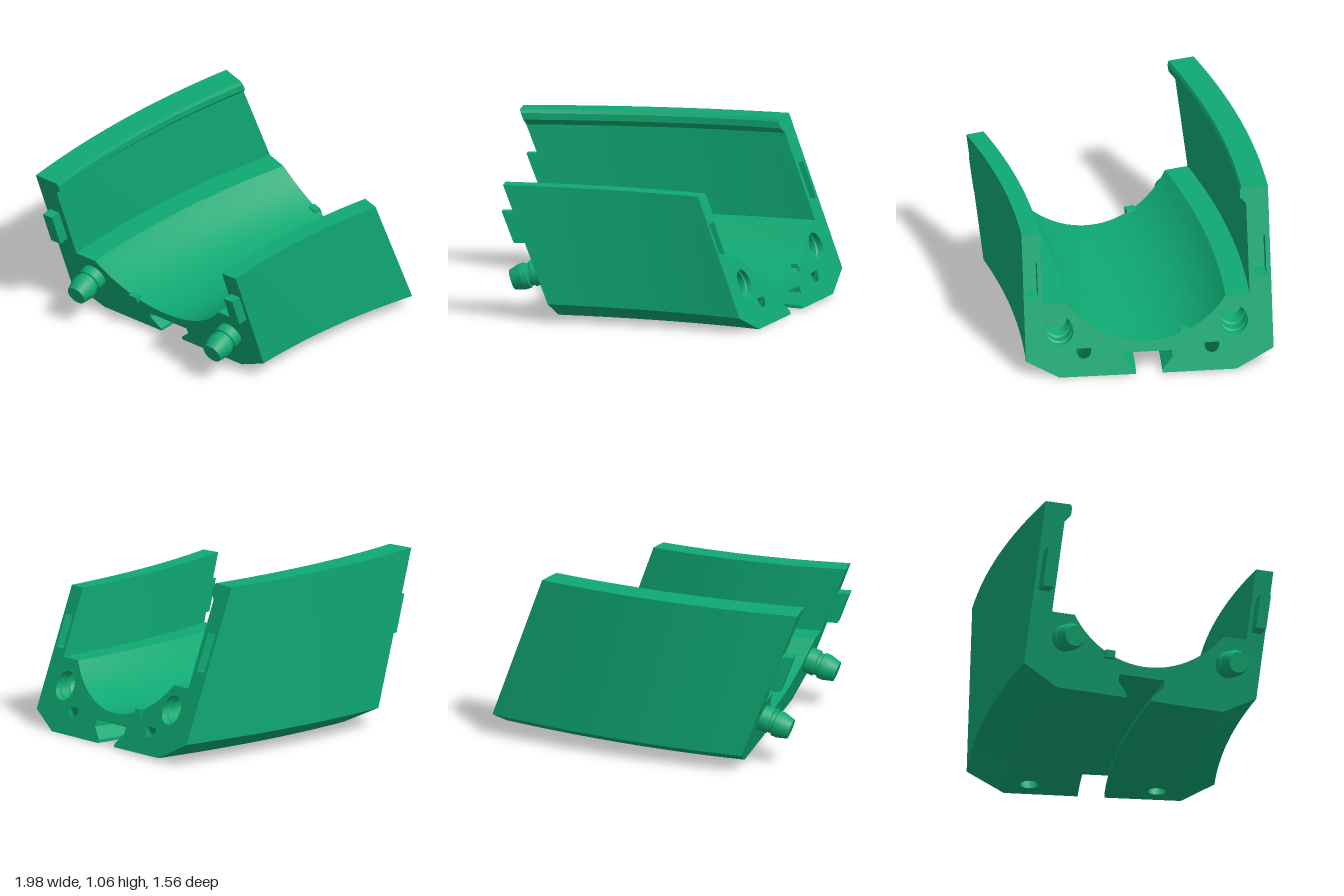
import * as THREE from 'three';
import { mergeGeometries } from 'three/addons/utils/BufferGeometryUtils.js';

const V2 = (x, y) => new THREE.Vector2(x, y);
const AXIS = 4.82;    // z of the vertical axis the track bends around
const HALF = 0.1464;  // half of the bend angle
const STEPS = 16;

// Section point (z, y) at sweep position s (-1 = left end, 1 = right end), with raked ends and a slight twist
function place(z, y, s) {
  const r = AXIS - z;
  const a = HALF * s + 0.375 * (0.525 - 0.08 * z - y) / r;
  const px = r * Math.sin(a), pz = AXIS - r * Math.cos(a);
  return new THREE.Vector3(px, y + 0.01 - 0.021 * px * pz, pz);
}

// Grid surface from rows of points, smooth inside
function surface(rows, flip = false) {
  const pos = [], idx = [], n = rows[0].length;
  rows.forEach(row => row.forEach(p => pos.push(p.x, p.y, p.z)));
  for (let i = 0; i < rows.length - 1; i++) for (let j = 0; j < n - 1; j++) {
    const a = i * n + j, b = a + n;
    if (flip) idx.push(a, a + 1, b, b, a + 1, b + 1);
    else idx.push(a, b, a + 1, b, b + 1, a + 1);
  }
  const g = new THREE.BufferGeometry();
  g.setAttribute('position', new THREE.Float32BufferAttribute(pos, 3));
  g.setIndex(idx);
  g.computeVertexNormals();
  return g;
}

// Sweep an open section line from s0 to s1
function sweep(line, s0, s1, steps = STEPS, flip = false) {
  const rows = [];
  for (let i = 0; i <= steps; i++) {
    const s = s0 + (s1 - s0) * i / steps;
    rows.push(line.map(p => place(p.x, p.y, s)));
  }
  return surface(rows, flip);
}

// Flat outline with holes, moved into place by a rule
function sheet(outline, holes, rule, flip = false) {
  const shape = new THREE.Shape(outline);
  holes.forEach(h => shape.holes.push(new THREE.Path(h)));
  const g = new THREE.ShapeGeometry(shape);
  g.deleteAttribute('uv');
  const p = g.attributes.position;
  for (let i = 0; i < p.count; i++) {
    const v = rule(p.getX(i), p.getY(i));
    p.setXYZ(i, v.x, v.y, v.z);
  }
  if (flip) {
    const ix = g.index.array;
    for (let i = 0; i < ix.length; i += 3) [ix[i], ix[i + 1]] = [ix[i + 1], ix[i]];
  }
  g.computeVertexNormals();
  return g;
}

const edges = loop => loop.map((p, i) => [p, loop[(i + 1) % loop.length]]);
const closed = loop => [...loop, loop[0]];
const ring = (cz, cy, r, n = 28) => Array.from({ length: n }, (_, i) =>
  V2(cz + r * Math.cos(i / n * 2 * Math.PI), cy + r * Math.sin(i / n * 2 * Math.PI)));
const rect = (z0, y0, z1, y1) => [V2(z0, y0), V2(z1, y0), V2(z1, y1), V2(z0, y1)];
// Rounded below, flat on top
const dLoop = cz => ring(cz, 0.147, 0.045, 20).map(p => V2(p.x, Math.min(p.y, 0.16)));

export function createModel() {
  const model = new THREE.Group();
  const green = new THREE.MeshStandardMaterial({ color: 0x0fa873, side: THREE.DoubleSide });
  green.name = 'green';
  const add = (name, geos) => {
    const m = new THREE.Mesh(Array.isArray(geos) ? mergeGeometries(geos) : geos, green);
    m.name = name;
    model.add(m);
    return m;
  };

  // Section: low front wall, trough, tall back wall with lip, slot below
  const arc = [], R = 0.603, lim = Math.asin(0.4775 / R);
  for (let i = 0; i <= 24; i++) {
    const a = lim * (1 - i / 12);
    arc.push(V2(-0.0225 + R * Math.sin(a), 0.788 - R * Math.cos(a)));
  }
  const front = [V2(0.51, 0), V2(0.71, 0.1), V2(0.71, 0.82), V2(0.6, 0.82), V2(0.6, 0.42), arc[0]];
  const back = [arc[24], V2(-0.645, 0.42), V2(-0.645, 0.94), V2(-0.61, 0.975), V2(-0.61, 1.015),
    V2(-0.62, 1.035), V2(-0.78, 1.035), V2(-0.78, 0.11), V2(-0.555, 0)];
  const slot = [V2(-0.11, 0), V2(-0.11, 0.02), V2(-0.17, 0.085), V2(-0.17, 0.125),
    V2(0.12, 0.125), V2(0.12, 0.085), V2(0.05, 0.02), V2(0.05, 0)];
  const section = [...front, ...arc.slice(1, -1), ...back, ...slot];
  const strips = line => line.slice(1).map((p, i) => sweep([line[i], p], -1, 1));
  add('frontWall', strips(front));
  add('trough', sweep(arc, -1, 1));
  add('backWall', strips(back));
  add('bottomSlot', strips(slot));

  // Undersides, each with the mouth of a slanted screw tunnel
  const n = 20;
  [[0.05, 0.51, 0.36], [-0.555, -0.11, -0.41]].forEach(([z0, z1, cz]) => {
    const mouth = ring(0, 0, 1, n).map(p => V2(0.82 - 0.07 * p.y, cz + 0.055 * p.x));
    const outline = [];
    for (let i = 0; i <= STEPS; i++) outline.push(V2(-1 + 2 * i / STEPS, z0));
    for (let i = STEPS; i >= 0; i--) outline.push(V2(-1 + 2 * i / STEPS, z1));
    add('underside', sheet(outline, [mouth], (s, z) => place(z, 0, s)));
    add('screwTunnel', surface([
      closed(mouth).map(p => place(p.y, 0, p.x)),
      closed(dLoop(cz)).map(p => place(p.x, p.y, 1))], true));
  });

  // Joint positions shared by both ends
  const joints = [[0.505, 0.265], [-0.545, 0.28]];
  const latches = [rect(0.625, 0.465, 0.69, 0.655), rect(-0.75, 0.53, -0.68, 0.755)];

  // End faces
  add('leftEnd', sheet(section, [], (z, y) => place(z, y, -1)));
  add('rightEnd', sheet(section,
    [...joints.map(([z, y]) => ring(z, y, 0.085)), ...latches, dLoop(0.36), dLoop(-0.41)],
    (z, y) => place(z, y, 1), true));

  // Ribbed peg holes in the right end
  const bore = [[1, 0.085], [0.95, 0.085], [0.94, 0.077], [0.9, 0.077], [0.89, 0.083],
    [0.85, 0.083], [0.84, 0.075], [0.76, 0.06]];
  joints.forEach(([z, y]) => {
    const geos = bore.slice(1).map(([s, r], i) => surface([
      closed(ring(z, y, r)).map(p => place(p.x, p.y, s)),
      closed(ring(z, y, bore[i][1])).map(p => place(p.x, p.y, bore[i][0]))], true));
    geos.push(sheet(ring(z, y, 0.06), [], (a, b) => place(a, b, 0.76), true));
    add('pegHole', geos);
  });

  // Pegs on the left end
  const peg = [[0, -0.03], [0.08, -0.03], [0.08, 0.06], [0.07, 0.065], [0.07, 0.085], [0.08, 0.09],
    [0.08, 0.125], [0.062, 0.19], [0, 0.19]];
  const pegGeo = mergeGeometries(peg.slice(1).map((p, i) =>
    new THREE.LatheGeometry([V2(...peg[i]), V2(...p)], 28)));
  const out = new THREE.Vector3(-1, -0.34, 0.13).normalize();
  joints.forEach(([z, y]) => {
    const m = add('peg', pegGeo);
    m.position.copy(place(z, y, -1));
    m.quaternion.setFromUnitVectors(new THREE.Vector3(0, 1, 0), out);
  });

  // Latch tabs on the left end, matching sockets in the right end
  latches.forEach((loop, k) => {
    const tip = k ? -1.09 : -1.12;
    add('latchTab', [...edges(loop).map(e => sweep(e, tip, -1, 1)),
      sheet(loop, [], (z, y) => place(z, y, tip))]);
    add('latchSocket', [...edges(loop).map(e => sweep(e, 0.88, 1, 1, true)),
      sheet(loop, [], (z, y) => place(z, y, 0.88), true)]);
  });

  // Small alignment keys at the trough rim
  const key = rect(-0.28, 0.2, -0.22, 0.243);
  [[-1.03, -0.97], [0.95, 1.015]].forEach(([s0, s1]) => add('alignmentKey', [
    ...edges(key).map(e => sweep(e, s0, s1, 1)),
    sheet(key, [], (z, y) => place(z, y, s0)),
    sheet(key, [], (z, y) => place(z, y, s1), true)]));

  return model;
}
